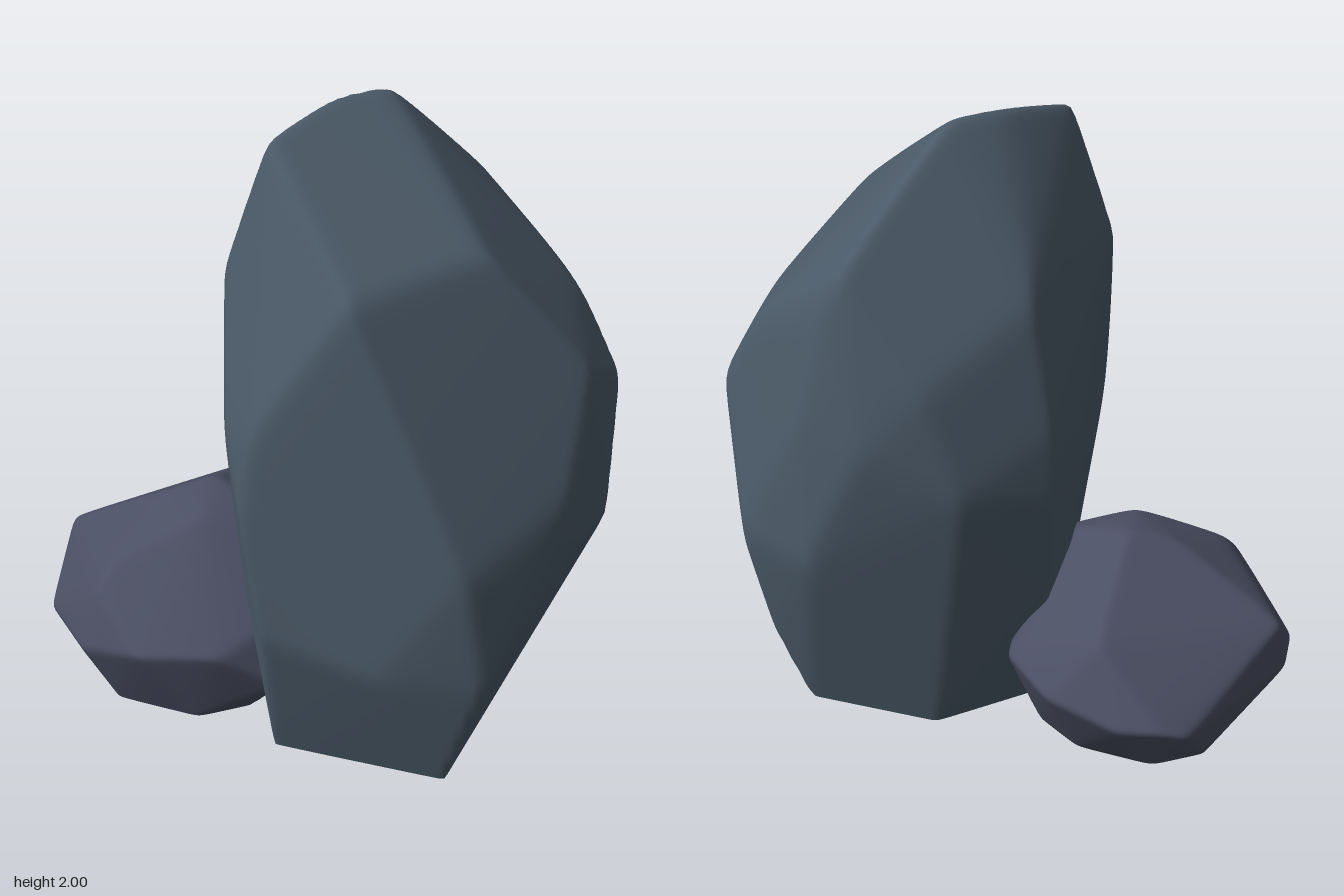
import * as THREE from 'three';
import { mergeVertices } from 'three/addons/utils/BufferGeometryUtils.js';
import { ConvexGeometry } from 'three/addons/geometries/ConvexGeometry.js';

// Facet planes of the hull around the corner points, relative to the centre.
function facetPlanes(corners, centre) {
  const pos = new ConvexGeometry(corners.map((c) => new THREE.Vector3(...c).sub(centre))).attributes.position;
  const planes = [];
  const [a, b, c] = [0, 1, 2].map(() => new THREE.Vector3());
  for (let i = 0; i < pos.count; i += 3) {
    [a, b, c].forEach((v, k) => v.fromBufferAttribute(pos, i + k));
    const plane = new THREE.Plane().setFromCoplanarPoints(a, b, c);
    const d = -plane.constant;
    // skip the ground face and merge nearly coplanar triangles into one facet
    if (d > 0.01 && !planes.some((p) => p.n.dot(plane.normal) > 0.9995)) planes.push({ n: plane.normal, d });
  }
  return planes;
}

// A faceted stone with softly worn edges, open where it meets the ground.
// The centre lies on the ground, so the dome's rim becomes the foot outline.
function rock(name, color, centre, stretch, corners, sharpness) {
  const planes = facetPlanes(corners, centre);
  let geo = new THREE.SphereGeometry(1, 200, 90, 0, Math.PI * 2, 0, Math.PI / 2);
  geo.deleteAttribute('uv');
  geo.deleteAttribute('normal');
  geo = mergeVertices(geo, 1e-5);
  const pos = geo.attributes.position;
  const v = new THREE.Vector3();
  for (let i = 0; i < pos.count; i++) {
    v.fromBufferAttribute(pos, i).multiply(stretch).normalize();
    // smooth minimum of the distances to all facets
    const k = planes.map((p) => Math.max(0, p.n.dot(v) / p.d));
    const nearest = Math.max(...k);
    const sum = k.reduce((s, q) => s + (q / nearest) ** sharpness, 0);
    v.multiplyScalar(1 / (nearest * sum ** (1 / sharpness))).add(centre);
    pos.setXYZ(i, v.x, v.y, v.z);
  }
  geo.computeVertexNormals();
  const mesh = new THREE.Mesh(geo, new THREE.MeshStandardMaterial({ color, side: THREE.DoubleSide }));
  mesh.name = name;
  return mesh;
}

export function createModel() {
  const group = new THREE.Group();
  group.name = 'rocks';

  const tall = [
    // top ridge and shoulders
    [0.08, 2.02, -0.16], [0.03, 2.02, 0.02], [0.02, 1.96, 0.29], [0.11, 1.64, -0.58],
    [0.57, 1.67, -0.03], [0.45, 1.61, 0.41], [-0.1, 1.54, 0.36], [-0.22, 1.55, -0.12],
    [-0.13, 1.3, -0.49], [0.2, 1.53, -0.61], [0.5, 1.38, -0.58],
    // waist
    [0.79, 1.27, -0.28], [0.85, 0.92, -0.12], [0.82, 0.72, -0.2], [0.78, 0.78, 0.27],
    [0.22, 1.17, 0.58], [0.07, 1.15, 0.54], [0.2, 0.88, 0.61], [-0.31, 1.1, -0.12], [-0.31, 0.86, -0.12],
    [-0.21, 0.9, 0.13], [0.02, 0.9, 0.47], [0, 1.1, -0.63], [0.2, 1.14, -0.69],
    [-0.22, 0.95, -0.42], [0.16, 0.68, -0.71], [0.46, 0.66, -0.72], [0.67, 1.1, -0.59],
    [0.72, 0.67, -0.5],
    // lower facets
    [0.81, 0.38, 0.21], [0.25, 0.5, 0.58], [0.57, 0.41, 0.42], [-0.27, 0.55, -0.1], [0.43, 0.27, -0.64],
    // foot outline
    [0.68, 0, 0.22], [0.17, 0, 0.45], [-0.16, 0, 0.03], [-0.03, 0, -0.36], [0.36, 0, -0.56],
  ];
  group.add(rock('tallRock', 0x4b5a68, new THREE.Vector3(0.2, 0, -0.05), new THREE.Vector3(0.5, 1, 0.55), tall, 130));

  const small = [
    // crown
    [-0.37, 0.655, 0.17], [-0.45, 0.62, 0.28], [-0.25, 0.615, 0.33], [-0.56, 0.48, -0.18],
    [-0.82, 0.41, 0.39], [-0.19, 0.605, 0.13], [-0.08, 0.54, 0.18], [-0.42, 0.48, 0.57], [0.07, 0.36, 0.27],
    // girth
    [-0.85, 0.23, -0.08], [-0.81, 0.26, -0.15], [-0.7, 0.25, -0.23], [-0.45, 0.28, -0.29], [-0.22, 0.3, -0.23],
    [0.11, 0.23, 0.22], [0.1, 0.13, 0.34], [-0.01, 0.27, 0.52], [-0.2, 0.27, 0.68], [-0.42, 0.4, 0.65],
    [-0.43, 0.21, 0.71], [-0.71, 0.2, 0.6], [-0.82, 0.22, 0.43],
    // foot outline
    [-0.75, 0, 0.13], [-0.67, 0, -0.03], [-0.44, 0, -0.13], [-0.25, 0, -0.11],
    [-0.03, 0, 0.35], [-0.11, 0, 0.51], [-0.37, 0, 0.61], [-0.65, 0, 0.51],
  ];
  group.add(rock('smallRock', 0x4b4f63, new THREE.Vector3(-0.38, 0, 0.25), new THREE.Vector3(1, 1, 1), small, 100));
  return group;
}
